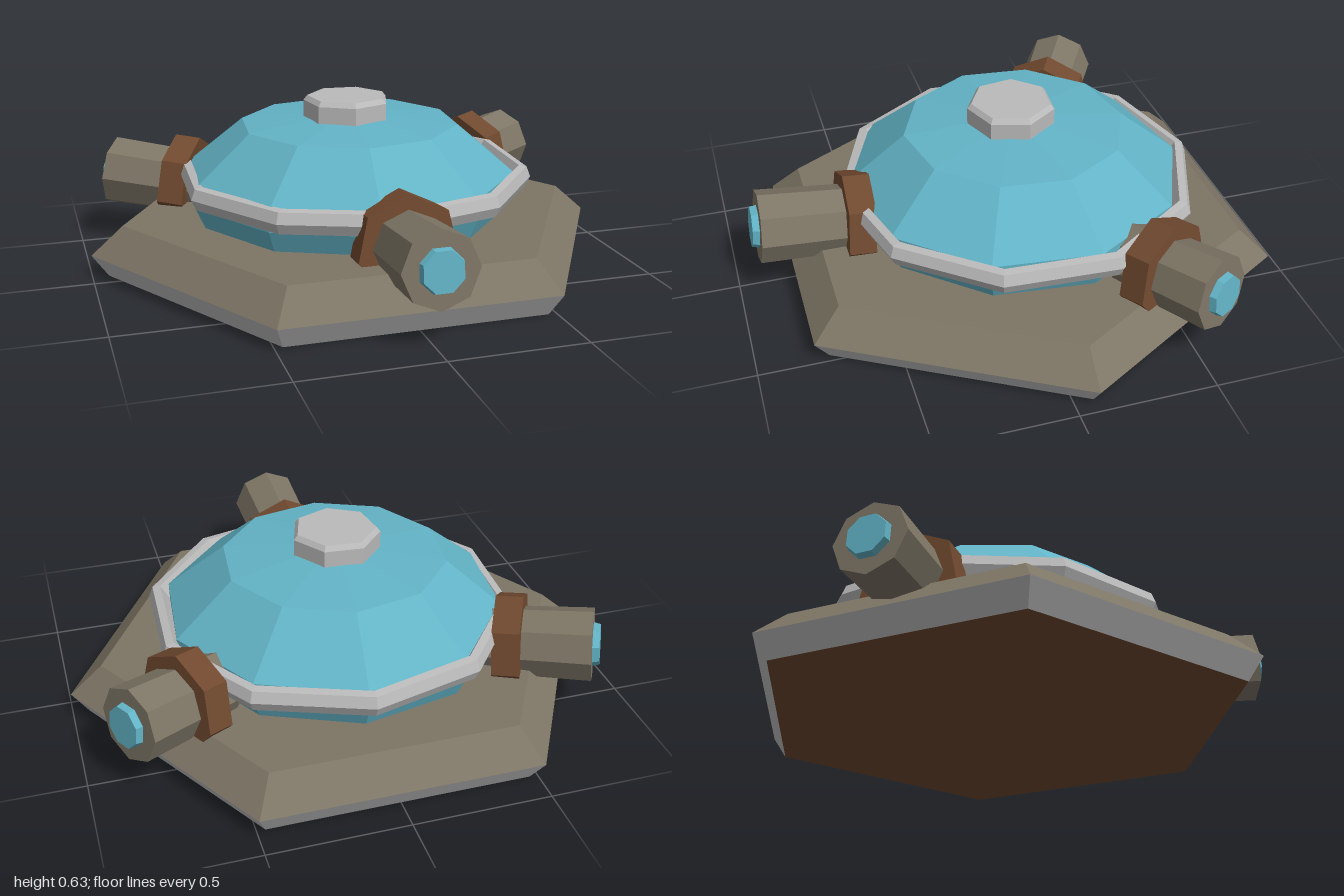
import * as THREE from 'three';

const DEG = Math.PI / 180;

function material(name, color) {
  const m = new THREE.MeshStandardMaterial({ color });
  m.name = name;
  return m;
}

// Faceted mesh with hard edges
function part(name, geometry, mat, parent) {
  const g = geometry.index ? geometry.toNonIndexed() : geometry;
  g.computeVertexNormals();
  const mesh = new THREE.Mesh(g, mat);
  mesh.name = name;
  parent.add(mesh);
  return mesh;
}

// Low-poly turned form, turned by a number of degrees; points are [radius, y]
function turned(points, sides, turn) {
  return new THREE.LatheGeometry(points.map(([r, y]) => new THREE.Vector2(r, y)), sides)
    .rotateY(turn * DEG);
}

// Cylinder lying along +z from z0 to z1
function rod(r0, r1, z0, z1, sides, roll = 0) {
  return new THREE.CylinderGeometry(r1, r0, z1 - z0, sides)
    .rotateX(Math.PI / 2)
    .rotateZ(roll)
    .translate(0, 0, (z0 + z1) / 2);
}

export function createModel() {
  const model = new THREE.Group();
  model.name = 'domedTurret';

  const stone = material('greyTan', 0x7d7565);
  const pale = material('paleGrey', 0xbababa);
  const brown = material('brown', 0x70492f);
  const teal = material('teal', 0x62b3c6);

  // Everything is centred slightly behind the origin
  const body = new THREE.Group();
  body.name = 'body';
  body.position.z = -0.07;
  model.add(body);

  // Hexagonal base: deck, undercut rim and underside
  part('baseDeck', turned([[1, 0.085], [0.88, 0.19], [0, 0.19]], 6, 30), stone, body);
  part('baseRim', turned([[0.94, 0], [1, 0.085]], 6, 30), pale, body);
  part('baseUnderside', turned([[0, 0], [0.94, 0]], 6, 30), brown, body);

  // Dome with ten facets
  const dome = turned([[0.58, 0.15], [0.635, 0.27], [0.635, 0.345], [0.415, 0.525], [0, 0.565]], 10, -6);
  part('dome', dome, teal, body).position.set(-0.005, 0, -0.01);

  // Ring around the dome
  const ring = turned([[0.6, 0.3], [0.625, 0.272], [0.665, 0.275], [0.685, 0.315],
    [0.67, 0.355], [0.64, 0.36], [0.6, 0.3]], 10, -3);
  part('domeRing', ring, pale, body).position.set(0.015, 0, -0.015);

  // Cap on top of the dome
  const cap = turned([[0.165, 0.53], [0.165, 0.612], [0.15, 0.63], [0, 0.63]], 7, -4.3);
  part('topCap', cap, pale, body).position.x = -0.013;

  // Three cannons, pitched slightly upward
  const cannons = [['frontCannon', 0, 0.62], ['leftCannon', 120, 0.73], ['rightCannon', 240, 0.68]];
  for (const [name, heading, collarAt] of cannons) {
    const cannon = new THREE.Group();
    cannon.name = name;
    cannon.position.set(heading ? 0 : 0.01, 0.185, 0);
    cannon.rotation.set(-5 * DEG, heading * DEG, 0, 'YXZ');
    body.add(cannon);

    part('barrel', rod(0.128, 0.137, 0.59, 0.98, 8), stone, cannon);
    part('collar', rod(0.185, 0.185, collarAt - 0.05, collarAt + 0.05, 7, Math.PI), brown, cannon);
    part('lens', rod(0.083, 0.075, 0.97, 1.005, 8, 22.5 * DEG), teal, cannon);
  }

  return model;
}
